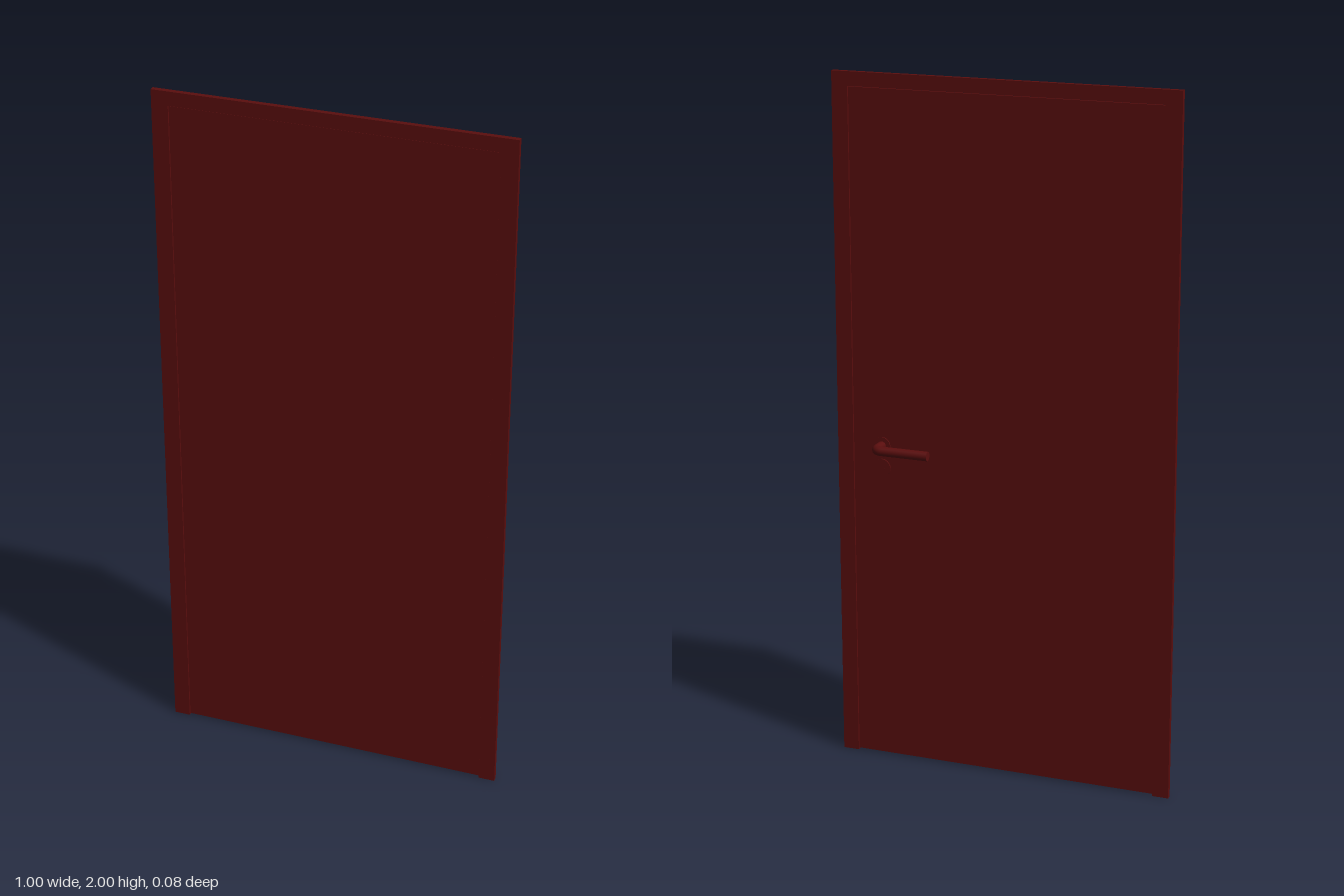
import * as THREE from 'three';

const material = new THREE.MeshStandardMaterial({ color: 0x5a0e0e });

function add(group, name, geometry, x = 0, y = 0, z = 0) {
  const mesh = new THREE.Mesh(geometry, material);
  mesh.name = name;
  mesh.position.set(x, y, z);
  group.add(mesh);
  return mesh;
}

export function createModel() {
  const door = new THREE.Group();
  door.name = 'door';

  // Frame: two jambs and a head in one outline, open at the floor
  const outline = new THREE.Shape([
    [-0.5, 0], [-0.453, 0], [-0.453, 1.96], [0.453, 1.96],
    [0.453, 0], [0.5, 0], [0.5, 2], [-0.5, 2],
  ].map(([x, y]) => new THREE.Vector2(x, y)));
  add(door, 'frame', new THREE.ExtrudeGeometry(outline, { depth: 0.015, bevelEnabled: false }), 0, 0, 0.022);

  // Leaf, slightly recessed on both sides with a small gap at the floor
  add(door, 'leaf', new THREE.BoxGeometry(0.904, 1.953, 0.008), 0, 0.9815, 0.0295);

  // Handle rose and keyhole plate on the back
  const handle = new THREE.Group();
  handle.name = 'handle';
  door.add(handle);
  for (const [name, y] of [['handleRose', 0.945], ['keyholePlate', 0.88]]) {
    const disc = add(handle, name, new THREE.CylinderGeometry(0.026, 0.026, 0.004, 24), 0.366, y, 0.0242);
    disc.rotation.x = Math.PI / 2;
  }
  // Keyhole barrel
  const barrel = add(handle, 'keyBarrel', new THREE.CylinderGeometry(0.009, 0.009, 0.001, 16), 0.366, 0.88, 0.022);
  barrel.rotation.x = Math.PI / 2;

  // Lever: shank, rounded bend and grip
  const v = (x, z) => new THREE.Vector3(x, 0.945, z);
  const path = new THREE.CurvePath();
  path.add(new THREE.LineCurve3(v(0.366, 0.027), v(0.366, -0.005)));
  path.add(new THREE.QuadraticBezierCurve3(v(0.366, -0.005), v(0.366, -0.026), v(0.345, -0.026)));
  path.add(new THREE.LineCurve3(v(0.345, -0.026), v(0.205, -0.026)));
  add(handle, 'lever', new THREE.TubeGeometry(path, 40, 0.0135, 16, false));

  // Closed end of the grip
  const cap = add(handle, 'leverEnd', new THREE.CircleGeometry(0.0135, 16), 0.205, 0.945, -0.026);
  cap.rotation.y = -Math.PI / 2;

  return door;
}
